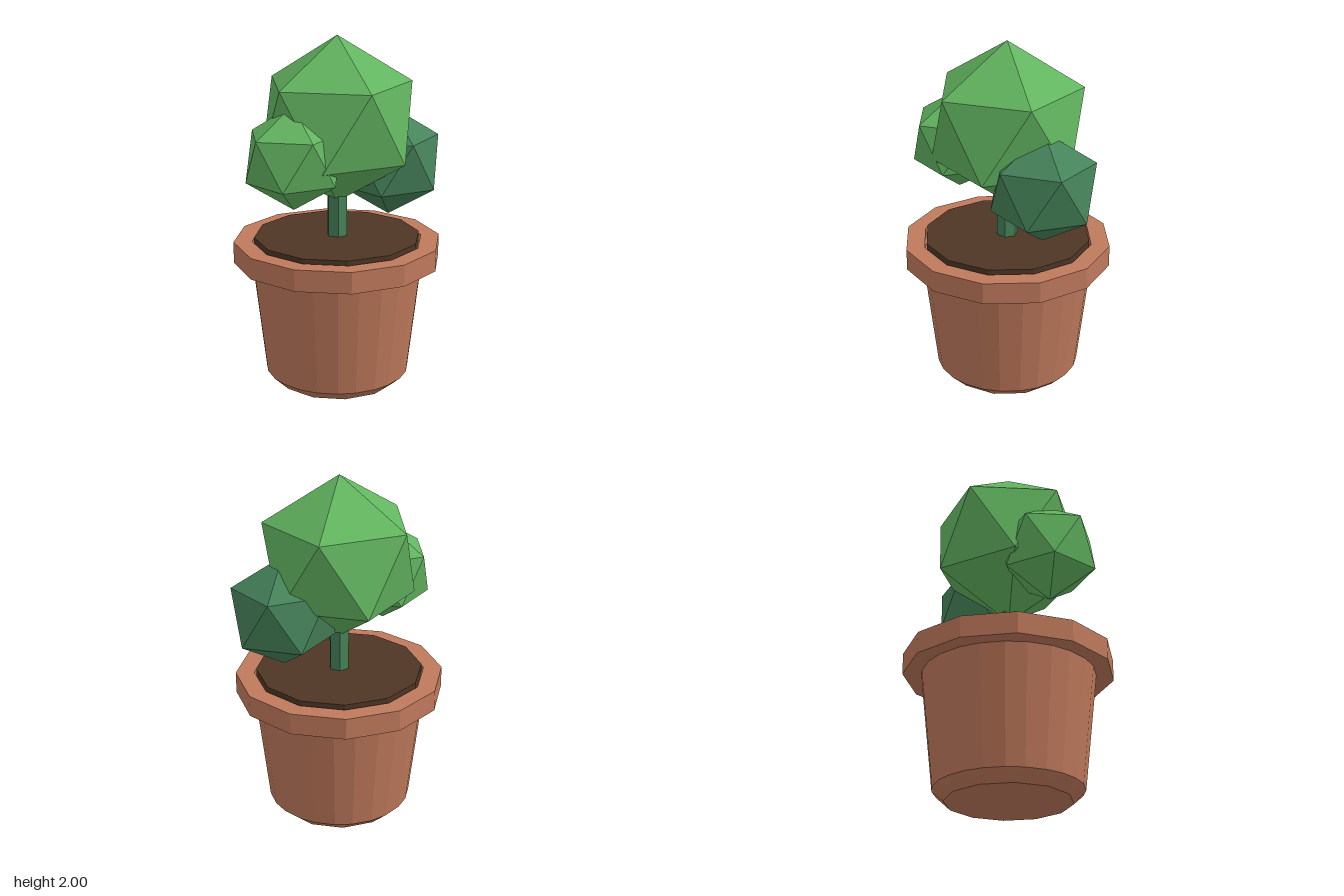
import * as THREE from 'three';

const material = (name, color) => {
  const m = new THREE.MeshStandardMaterial({ color });
  m.name = name;
  return m;
};

// Give every face its own flat normal
function faceted(geometry) {
  const g = geometry.index ? geometry.toNonIndexed() : geometry;
  g.computeVertexNormals();
  return g;
}

// Ring of 12 corners, each split in two by a small bevel angle
function ring(radius, y, bevel) {
  const points = [];
  for (let i = 0; i < 12; i++) {
    for (const s of [-1, 1]) {
      const a = (i * Math.PI) / 6 + s * bevel;
      points.push(new THREE.Vector3(radius * Math.sin(a), y, radius * Math.cos(a)));
    }
  }
  return points;
}

// Tapered body with bevelled upright corners that meet in points at the foot
function potBody() {
  const bevel = THREE.MathUtils.degToRad(7);
  const rings = [ring(0.35, 0, 0), ring(0.413, 0.063, bevel), ring(0.488, 0.73, bevel)];
  const centre = new THREE.Vector3(0, 0, 0);
  const tris = [];
  for (let i = 0; i < 24; i++) {
    const j = (i + 1) % 24;
    const split = i % 2 === 0; // both foot points coincide on the bevel faces
    if (!split) tris.push(centre, rings[0][j], rings[0][i]);
    for (let k = 0; k < 2; k++) {
      const [lo, hi] = [rings[k], rings[k + 1]];
      if (!(split && k === 0)) tris.push(lo[i], lo[j], hi[j]);
      tris.push(lo[i], hi[j], hi[i]);
    }
  }
  return faceted(new THREE.BufferGeometry().setFromPoints(tris));
}

// Icosahedron standing on one corner, with an upper corner towards +x
function leafBall(radius) {
  const g = new THREE.IcosahedronGeometry(radius, 0);
  g.rotateZ(-Math.atan(2 / (1 + Math.sqrt(5))));
  return faceted(g);
}

export function createModel() {
  const group = new THREE.Group();
  group.name = 'pottedTree';

  const clay = material('clay', 0xbf795c);
  const earth = material('earth', 0x4e3625);
  const leaf = material('leafGreen', 0x62b560);
  const deepLeaf = material('deepGreen', 0x46835a);

  const add = (name, geometry, mat, x = 0, y = 0, z = 0) => {
    const mesh = new THREE.Mesh(geometry, mat);
    mesh.name = name;
    mesh.position.set(x - 0.005, y, z);
    group.add(mesh);
  };

  // Pot
  add('potBody', potBody(), clay);
  const rimProfile = [[0.47, 0.72], [0.59, 0.72], [0.59, 0.842], [0.485, 0.842], [0.485, 0.8], [0, 0.8]];
  const rim = new THREE.LatheGeometry(rimProfile.map(([r, y]) => new THREE.Vector2(r, y)), 12);
  add('potRim', faceted(rim), clay);

  // Soil
  add('soil', faceted(new THREE.CylinderGeometry(0.473, 0.473, 0.065, 12)), earth, 0, 0.8325, 0);

  // Tree
  add('trunk', faceted(new THREE.CylinderGeometry(0.06, 0.06, 0.4, 6)), deepLeaf, 0, 1.05, 0);
  add('mainFoliage', leafBall(0.47), leaf, 0, 1.53, 0);
  add('smallFoliage', leafBall(0.29), leaf, -0.265, 1.37, 0.205);
  add('sideFoliage', leafBall(0.318), deepLeaf, 0.312, 1.265, -0.105);

  return group;
}
